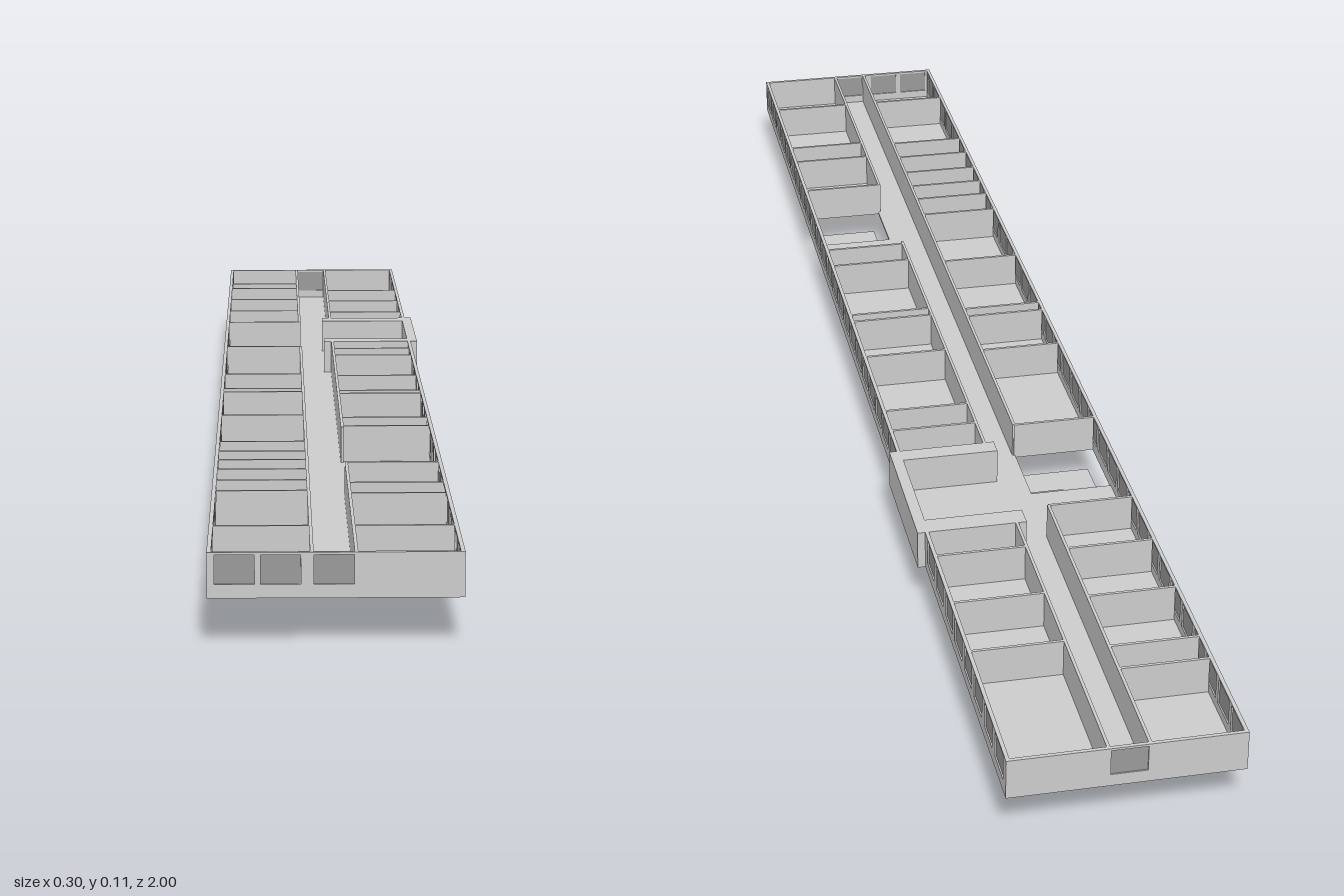
import * as THREE from 'three';

const grey = new THREE.MeshStandardMaterial({ color: 0xcccccc });
const greyDouble = new THREE.MeshStandardMaterial({ color: 0xcccccc, side: THREE.DoubleSide });
const paneGrey = new THREE.MeshStandardMaterial({ color: 0x999999 });

// Main levels and plan lines
const BASE = 0.057, FLOOR = 0.061, TOP = 0.11;
const X0 = -0.15, X1 = 0.14, WALL = 0.005, THIN = 0.004;
const CORRIDOR_R = -0.032, CORRIDOR_L = 0.018;

function rectPath(path, a, b, c, d) {
  path.moveTo(a, b).lineTo(c, b).lineTo(c, d).lineTo(a, d).closePath();
  return path;
}

function add(parent, name, geometry, material = grey) {
  const mesh = new THREE.Mesh(geometry, material);
  mesh.name = name;
  parent.add(mesh);
  return mesh;
}

// Axis-aligned block given by its two corners
function block(parent, name, x0, x1, y0, y1, z0, z1, material) {
  const mesh = add(parent, name, new THREE.BoxGeometry(x1 - x0, y1 - y0, z1 - z0), material);
  mesh.position.set((x0 + x1) / 2, (y0 + y1) / 2, (z0 + z1) / 2);
  return mesh;
}

// Wall from u0 to u1 with square windows and recessed panes, in its own xy plane
function windowWall(name, u0, u1, centres) {
  const wall = new THREE.Group();
  wall.name = name;
  const shape = rectPath(new THREE.Shape(), u0, BASE, u1, TOP);
  const w = 0.0225, y0 = 0.073, y1 = 0.107;
  for (const c of centres) {
    shape.holes.push(rectPath(new THREE.Path(), c - w, y0, c + w, y1));
    block(wall, 'windowPane', c - w, c + w, y0, y1, -0.0007, 0.0007, paneGrey);
  }
  const geo = new THREE.ExtrudeGeometry(shape, { depth: WALL, bevelEnabled: false });
  add(wall, 'wallFrame', geo.translate(0, 0, -WALL / 2));
  return wall;
}

// Evenly spaced window centres between two ends
function spaced(a, b) {
  const n = Math.floor((b - a) / 0.0545);
  return Array.from({ length: n }, (_, i) => a + (b - a) * (i + 0.5) / n);
}

// Single sheet through four corners, counter-clockwise from its front
function sheet(parent, name, corners, material) {
  const geo = new THREE.BufferGeometry();
  geo.setAttribute('position', new THREE.Float32BufferAttribute(corners.flat(), 3));
  geo.setIndex([0, 1, 2, 0, 2, 3]);
  geo.computeVertexNormals();
  return add(parent, name, geo, material);
}

// Two ramped flights with a half landing; side = -1 or 1, z = back of the stairwell
function stairs(side, z) {
  const g = new THREE.Group();
  g.name = 'staircase';
  const at = x => -0.007 + side * x;
  const [near, far] = [0.083, 0.131].map(at).sort((a, b) => a - b);
  const [inA, inB] = [0.035, 0.083].map(at).sort((a, b) => a - b);
  const lo = Math.min(near, inA), hi = Math.max(far, inB);
  const mid = z + 0.052, end = z + 0.1, half = 0.028;
  sheet(g, 'upperFlight', [[near, BASE, z], [near, half, mid], [far, half, mid], [far, BASE, z]], greyDouble);
  sheet(g, 'landing', [[lo, half, mid], [lo, half, end], [hi, half, end], [hi, half, mid]], greyDouble);
  sheet(g, 'lowerFlight', [[inA, 0, z], [inB, 0, z], [inB, half, mid], [inA, half, mid]], grey);
  return g;
}

export function createModel() {
  const model = new THREE.Group();
  model.name = 'buildingStorey';

  // Floor slab with the side bay and two stairwell openings (drawn as x, -z)
  const plan = new THREE.Shape();
  plan.moveTo(X0, -1).lineTo(X1, -1).lineTo(X1, 0.29).lineTo(0.15, 0.29)
    .lineTo(0.15, 0.5).lineTo(X1, 0.5).lineTo(X1, 1).lineTo(X0, 1).closePath();
  plan.holes.push(rectPath(new THREE.Path(), X0 + WALL, 0.25, CORRIDOR_R - THIN / 2, 0.355));
  plan.holes.push(rectPath(new THREE.Path(), CORRIDOR_L + THIN / 2, -0.55, X1 - WALL, -0.447));
  const slab = new THREE.ExtrudeGeometry(plan, { depth: FLOOR - BASE, bevelEnabled: false });
  add(model, 'floorSlab', slab.rotateX(-Math.PI / 2).translate(0, BASE, 0));

  // Outer walls; the long ones are turned so that their length runs along z
  const long = [
    ['rightWall', X0 + WALL / 2, -1, 1],
    ['leftWallFront', X1 - WALL / 2, -0.29, 1],
    ['leftWallBack', X1 - WALL / 2, -1, -0.5],
  ];
  for (const [name, x, z0, z1] of long) {
    const wall = windowWall(name, z0, z1, spaced(z0 + 0.008, z1 - 0.008));
    wall.rotation.y = -Math.PI / 2;
    wall.position.x = x;
    model.add(wall);
  }
  const front = windowWall('frontWall', X0, X1, [-0.119, -0.067, -0.007]);
  front.position.z = 1 - WALL / 2;
  const back = windowWall('backWall', X0, X1, [-0.007]);
  back.position.z = -1 + WALL / 2;
  model.add(front, back);

  // Corridor walls, broken at the lobby, bay and stairwell
  const corridor = [
    [CORRIDOR_R, -1, -0.465], [CORRIDOR_R, -0.25, 1],
    [CORRIDOR_L, -1, -0.5], [CORRIDOR_L, -0.29, 0.34], [CORRIDOR_L, 0.55, 1],
  ];
  for (const [x, z0, z1] of corridor) {
    block(model, 'corridorWall', x - THIN / 2, x + THIN / 2, BASE + 0.001, TOP, z0, z1);
  }

  // Room partitions on either side of the corridor
  const rightRooms = [-0.845, -0.797, -0.685, -0.572, -0.465, -0.25, -0.03, 0.076, 0.1,
    0.26, 0.427, 0.485, 0.534, 0.587, 0.647, 0.703, 0.877];
  const leftRooms = [-0.775, -0.667, -0.557, -0.233, -0.178, -0.018, 0.092, 0.113,
    0.277, 0.332, 0.55, 0.662, 0.717, 0.877];
  for (const z of rightRooms) {
    block(model, 'partition', X0 + WALL, CORRIDOR_R, BASE + 0.001, TOP, z - THIN / 2, z + THIN / 2);
  }
  for (const z of leftRooms) {
    block(model, 'partition', CORRIDOR_L, X1 - WALL, BASE + 0.001, TOP, z - THIN / 2, z + THIN / 2);
  }

  // Entrance bay: thick end walls and a plain outer wall
  block(model, 'bayBackWall', 0.005, 0.15, BASE, TOP, -0.5, -0.47);
  block(model, 'bayFrontWall', 0.005, 0.15, BASE, TOP, -0.315, -0.29);
  block(model, 'bayOuterWall', 0.135, 0.15, BASE, TOP, -0.47, -0.315);

  // Stairs down to the storey below
  model.add(stairs(-1, -0.353), stairs(1, 0.447));
  return model;
}
